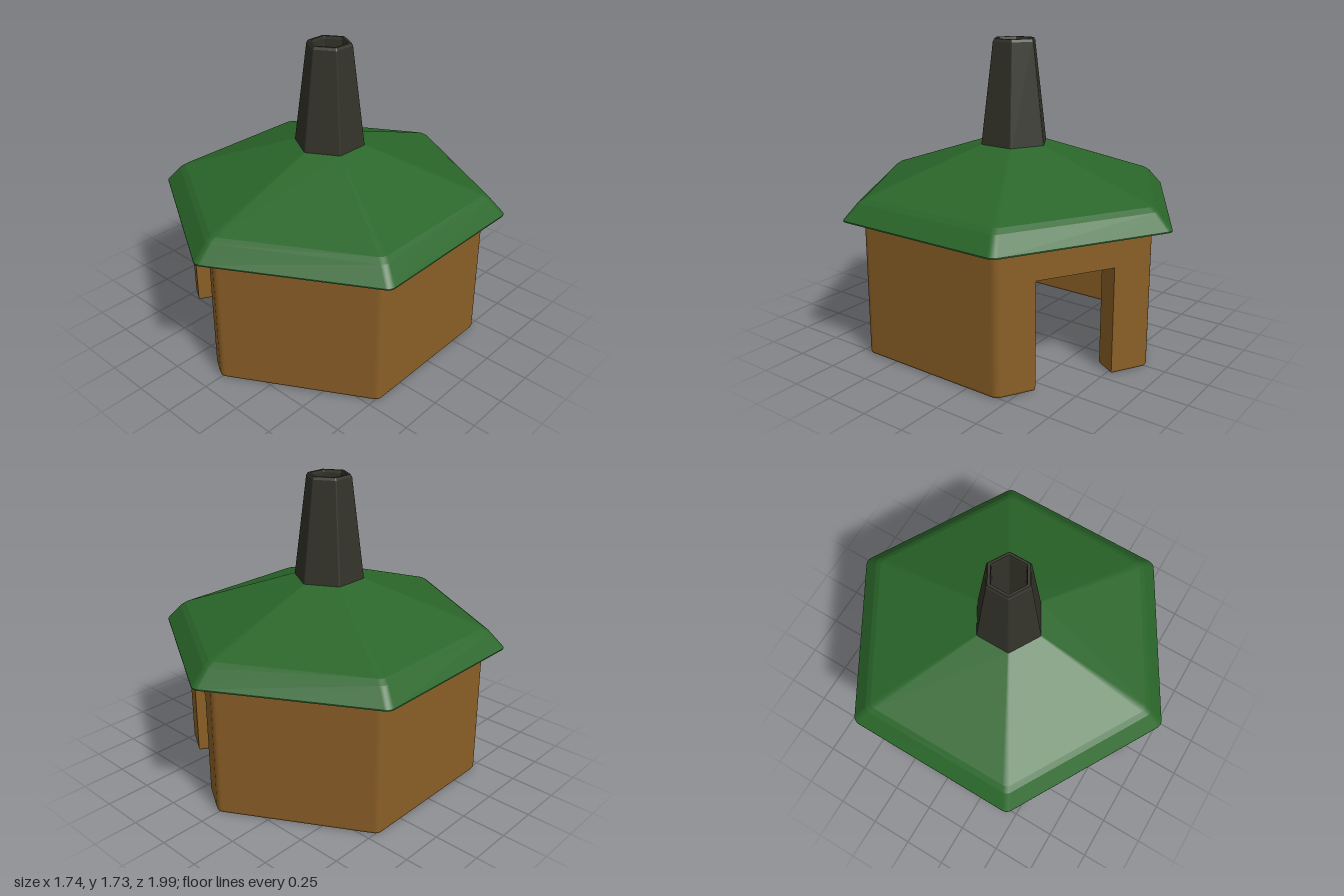
import * as THREE from 'three';

const WALL_R = 0.888, THICK = 0.13, EAVE = 0.79;
const INNER_R = WALL_R - THICK / Math.cos(Math.PI / 6);

const paint = (color) => new THREE.MeshStandardMaterial({ color });
const wood = paint(0x8a5e26), green = paint(0x2a662a), soot = paint(0x33332a);

// Plan points (x, z) of one softened hexagon corner; corner 0 points to the front
function corner(k, R, f) {
  const a = k * Math.PI / 3, c = R - f / Math.cos(Math.PI / 6), pts = [];
  for (let i = 0; i <= 4; i++) {
    const b = a + (i / 4 - 0.5) * Math.PI / 3;
    pts.push([Math.sin(a) * c + Math.sin(b) * f, Math.cos(a) * c + Math.cos(b) * f]);
  }
  return pts;
}

// Hexagonal skin through a profile of [radius, y]; edges between bands stay sharp
function hexLoft(name, profile, material, round = 0.05) {
  const pos = [], index = [];
  const ring = ([R, y]) => [0, 1, 2, 3, 4, 5]
    .flatMap((k) => corner(k, R, R * round)).map(([x, z]) => [x, y, z]);
  for (let i = 0; i + 1 < profile.length; i++) {
    const a = ring(profile[i]), b = ring(profile[i + 1]), n = a.length, s = pos.length / 3;
    pos.push(...a.flat(), ...b.flat());
    for (let k = 0; k < n; k++) {
      const m = (k + 1) % n;
      index.push(s + k, s + m, s + n + m, s + k, s + n + m, s + n + k);
    }
  }
  const geo = new THREE.BufferGeometry();
  geo.setAttribute('position', new THREE.Float32BufferAttribute(pos, 3));
  geo.setIndex(index);
  geo.computeVertexNormals();
  const mesh = new THREE.Mesh(geo, material);
  mesh.name = name;
  return mesh;
}

// Point on the wall face after corner k, offset along the face and inward
function onFace(k, along, depth) {
  const a = (k + 0.5) * Math.PI / 3, d = WALL_R * Math.cos(Math.PI / 6) - depth;
  return [Math.sin(a) * d + Math.cos(a) * along, Math.cos(a) * d - Math.sin(a) * along];
}

// Bent wall running round three corners between two openings
function wall(name, first, startFace, startAlong, endFace, endAlong) {
  const ks = [first, first + 1, first + 2];
  const plan = [
    onFace(startFace, startAlong, 0),
    ...ks.flatMap((k) => corner(k, WALL_R, 0.045)),
    onFace(endFace, endAlong, 0),
    onFace(endFace, endAlong, THICK),
    ...ks.reverse().flatMap((k) => corner(k, INNER_R, 0.01).reverse()),
    onFace(startFace, startAlong, THICK),
  ];
  const bevel = 0.015;
  const geo = new THREE.ExtrudeGeometry(
    new THREE.Shape(plan.map(([x, z]) => new THREE.Vector2(x, -z))),
    { depth: EAVE - 2 * bevel, bevelSize: bevel, bevelOffset: -bevel, bevelThickness: bevel, bevelSegments: 2 });
  geo.rotateX(-Math.PI / 2).translate(0, bevel, 0);
  const mesh = new THREE.Mesh(geo, wood);
  mesh.name = name;
  return mesh;
}

export function createModel() {
  const model = new THREE.Group();
  model.name = 'hut';

  // Walls, split by the tall front gap (face 5) and the back door (face 2)
  const gap = 0.317, door = 0.225;
  model.add(wall('leftWall', 0, 5, gap, 2, -door));
  model.add(wall('rightWall', 3, 2, door, 5, -gap));

  // Lintel over the back door
  const doorTop = 0.605;
  const lintel = new THREE.Mesh(new THREE.BoxGeometry(2 * door, EAVE - doorTop, THICK), wood);
  const [lx, lz] = onFace(2, 0, THICK / 2);
  lintel.position.set(lx, (EAVE + doorTop) / 2, lz);
  lintel.rotation.y = 2.5 * Math.PI / 3;
  lintel.name = 'doorLintel';
  model.add(lintel);

  // Roof with flared eaves, and its wooden underside
  model.add(hexLoft('roof', [[1.005, EAVE], [1.005, 0.797], [0.92, 0.885], [0.885, 0.907], [0.2, 1.143]], green));
  model.add(hexLoft('ceiling', [[0.1, 1.15], [0.1, 1.0], [INNER_R, EAVE], [1.005, EAVE]], wood));

  // Hollow tapering chimney
  model.add(hexLoft('chimney',
    [[0.203, 1.14], [0.129, 1.71], [0.12, 1.725], [0.104, 1.725], [0.1, 1.71], [0.1, 1.15]], soot, 0.08));

  return model;
}
